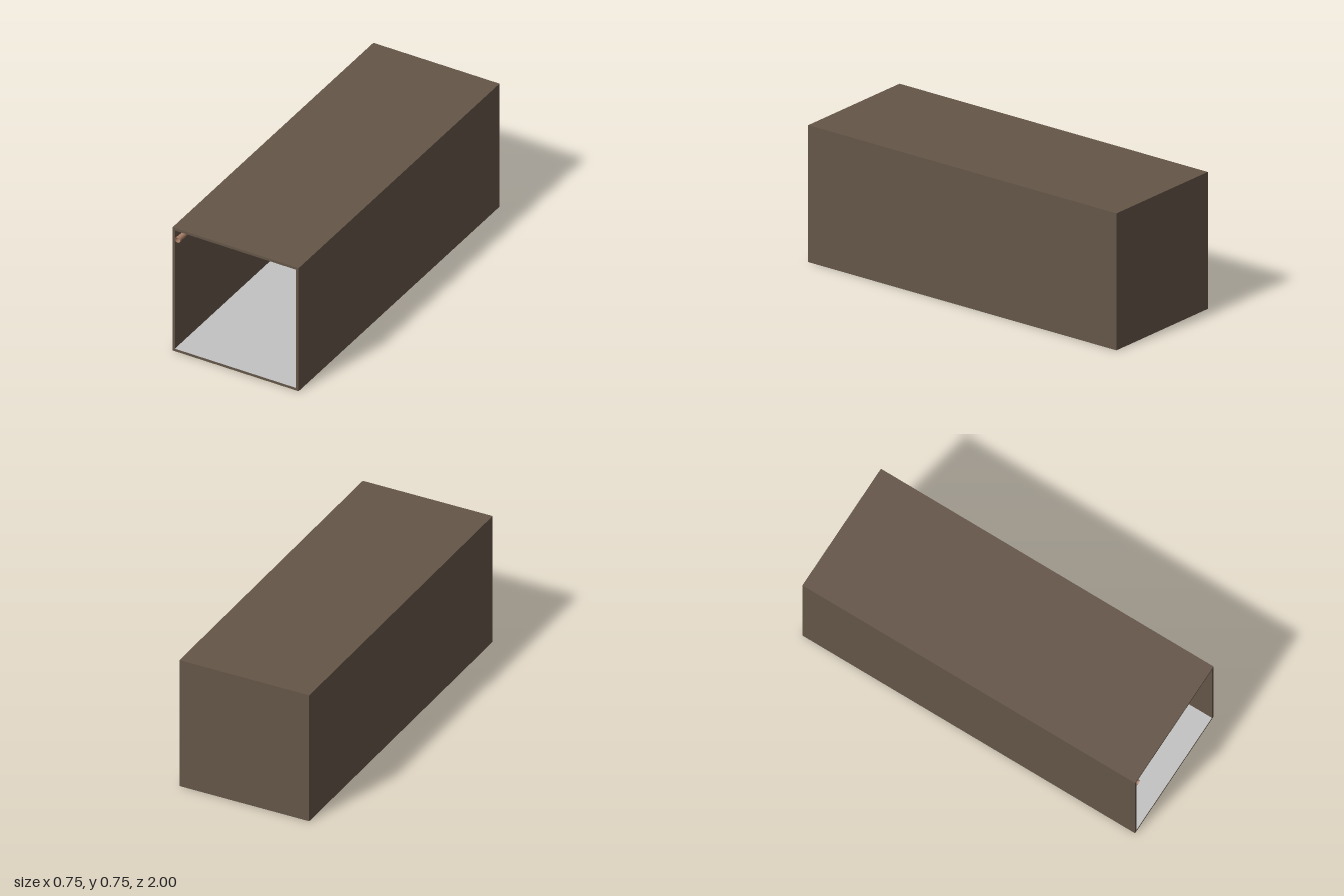
import * as THREE from 'three';

const W = 0.746, H = 0.746, L = 2, T = 0.0145;

export function createModel() {
  const model = new THREE.Group();
  const mat = (name, color, side = THREE.FrontSide) => {
    const m = new THREE.MeshStandardMaterial({ color, side });
    m.name = name;
    return m;
  };
  const brown = mat('brown wall', 0x645547);
  const plaster = mat('pale back wall', 0xdadada);
  const concrete = mat('grey floor', 0xc2c2c2);
  const crateBrown = mat('crate brown', 0x5d5141);
  const copper = mat('copper', 0xa87f68, THREE.DoubleSide);

  const add = (name, geometry, material, x = 0, y = 0, z = 0) => {
    const mesh = new THREE.Mesh(geometry, material);
    mesh.name = name;
    mesh.position.set(x, y, z);
    model.add(mesh);
    return mesh;
  };
  const box = (name, w, h, d, m, x, y, z) =>
    add(name, new THREE.BoxGeometry(w, h, d), m, x, y, z);

  // Room shell, open at the front
  box('floorSlab', W, T, L, brown, 0, T / 2, 0);
  box('ceiling', W, T, L, brown, 0, H - T / 2, 0);
  for (const s of [-1, 1]) {
    box(s > 0 ? 'leftWall' : 'rightWall', T, H - 2 * T, L, brown, s * (W - T) / 2, H / 2, 0);
  }
  box('backWall', W - 2 * T, H - 2 * T, T, brown, 0, H / 2, -L / 2 + T / 2);

  // Light inner surfaces
  box('floorSurface', W - 2 * T, 0.001, L - T - 0.001, concrete, 0, T + 0.0005, T / 2);
  box('backSurface', W - 2 * T, H - 2 * T, 0.001, plaster, 0, H / 2, -L / 2 + T + 0.0005);

  // Crate turned on the floor
  const C = 0.143;
  box('crate', C, C, C, crateBrown, 0.147, T + C / 2, -0.45).rotation.y = Math.PI / 6;

  // Open pipe: up the rear corner, round an elbow and forward to the opening
  const px = -0.343, py = 0.678, pz = -0.965, bend = 0.08;
  const path = new THREE.CurvePath();
  const v = (y, z) => new THREE.Vector3(px, y, z);
  path.add(new THREE.LineCurve3(v(0.075, pz), v(py - bend, pz)));
  path.add(new THREE.CubicBezierCurve3(
    v(py - bend, pz), v(py - bend * 0.45, pz), v(py, pz + bend * 0.45), v(py, pz + bend)));
  path.add(new THREE.LineCurve3(v(py, pz + bend), v(py, L / 2)));
  add('pipe', new THREE.TubeGeometry(path, 160, 0.0145, 20, false), copper);

  // Collars on both runs
  const collar = (y, z, along) => {
    const ring = add('pipeCollar', new THREE.LatheGeometry(
      [[0.0146, -0.007], [0.0165, -0.007], [0.0165, 0.007], [0.0146, 0.007]]
        .map(([r, h]) => new THREE.Vector2(r, h)), 20), copper, px, y, z);
    if (along) ring.rotation.x = Math.PI / 2;
  };
  for (const y of [0.13, 0.502]) collar(y, pz, false);
  for (const z of [-0.6, -0.07, 0.46, 0.992]) collar(py, z, true);

  return model;
}
